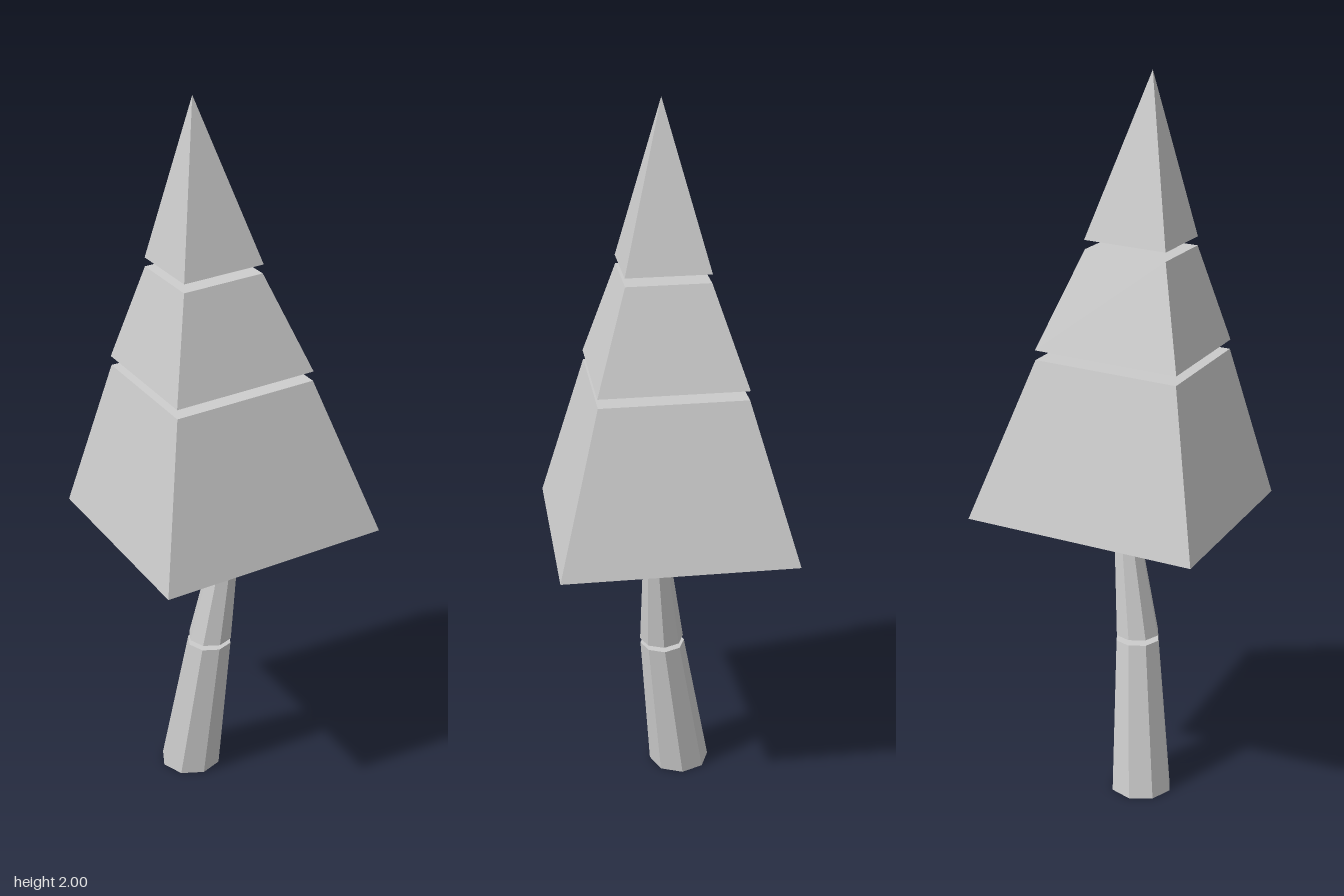
import * as THREE from 'three';

const material = new THREE.MeshStandardMaterial({ color: 0xcccccc, flatShading: true });

// Closed frustum between two polygon rings; slope tilts a ring along x.
function frustum(name, sides, turn, lower, upper) {
  const pos = [];
  const corner = ({ x, y, z, r, slope = 0 }, i) => {
    const a = turn + (i % sides) / sides * Math.PI * 2;
    const dx = r * Math.cos(a);
    return [x + dx, y + slope * dx, z + r * Math.sin(a)];
  };
  const centre = (s) => [s.x, s.y, s.z];
  for (let i = 0; i < sides; i++) {
    const b0 = corner(lower, i), b1 = corner(lower, i + 1);
    const t0 = corner(upper, i), t1 = corner(upper, i + 1);
    pos.push(...b0, ...t0, ...b1);
    pos.push(...centre(lower), ...b0, ...b1);
    if (upper.r > 0) {
      pos.push(...b1, ...t0, ...t1);
      pos.push(...centre(upper), ...t1, ...t0);
    }
  }
  const geometry = new THREE.BufferGeometry();
  geometry.setAttribute('position', new THREE.Float32BufferAttribute(pos, 3));
  geometry.computeVertexNormals();
  const mesh = new THREE.Mesh(geometry, material);
  mesh.name = name;
  return mesh;
}

export function createModel() {
  const group = new THREE.Group();
  group.name = 'stylizedTree';

  // Leaning octagonal trunk in two segments
  group.add(
    frustum('lowerTrunk', 8, 0,
      { x: -0.073, y: 0, z: -0.05, r: 0.087 },
      { x: -0.037, y: 0.43, z: 0.004, r: 0.063 }),
    frustum('upperTrunk', 8, 0,
      { x: -0.036, y: 0.445, z: 0.006, r: 0.062 },
      { x: 0.015, y: 0.81, z: 0.03, r: 0.031 }),
  );

  // Tilted square foliage tiers: [x, y, half width, slope] for bottom and top
  const tiers = [
    ['lowerFoliage', [-0.001, 0.823, 0.316, 0.064], [-0.029, 1.253, 0.197, 0.064]],
    ['middleFoliage', [-0.029, 1.279, 0.198, 0.064], [-0.049, 1.544, 0.112, 0.064]],
    ['topFoliage', [-0.048, 1.568, 0.113, 0.064], [-0.077, 2, 0, 0]],
  ];
  const ring = ([x, y, half, slope]) => ({ x, y, z: 0, r: half * Math.SQRT2, slope });
  for (const [name, lower, upper] of tiers) {
    group.add(frustum(name, 4, Math.PI / 4 - 0.009, ring(lower), ring(upper)));
  }
  return group;
}
